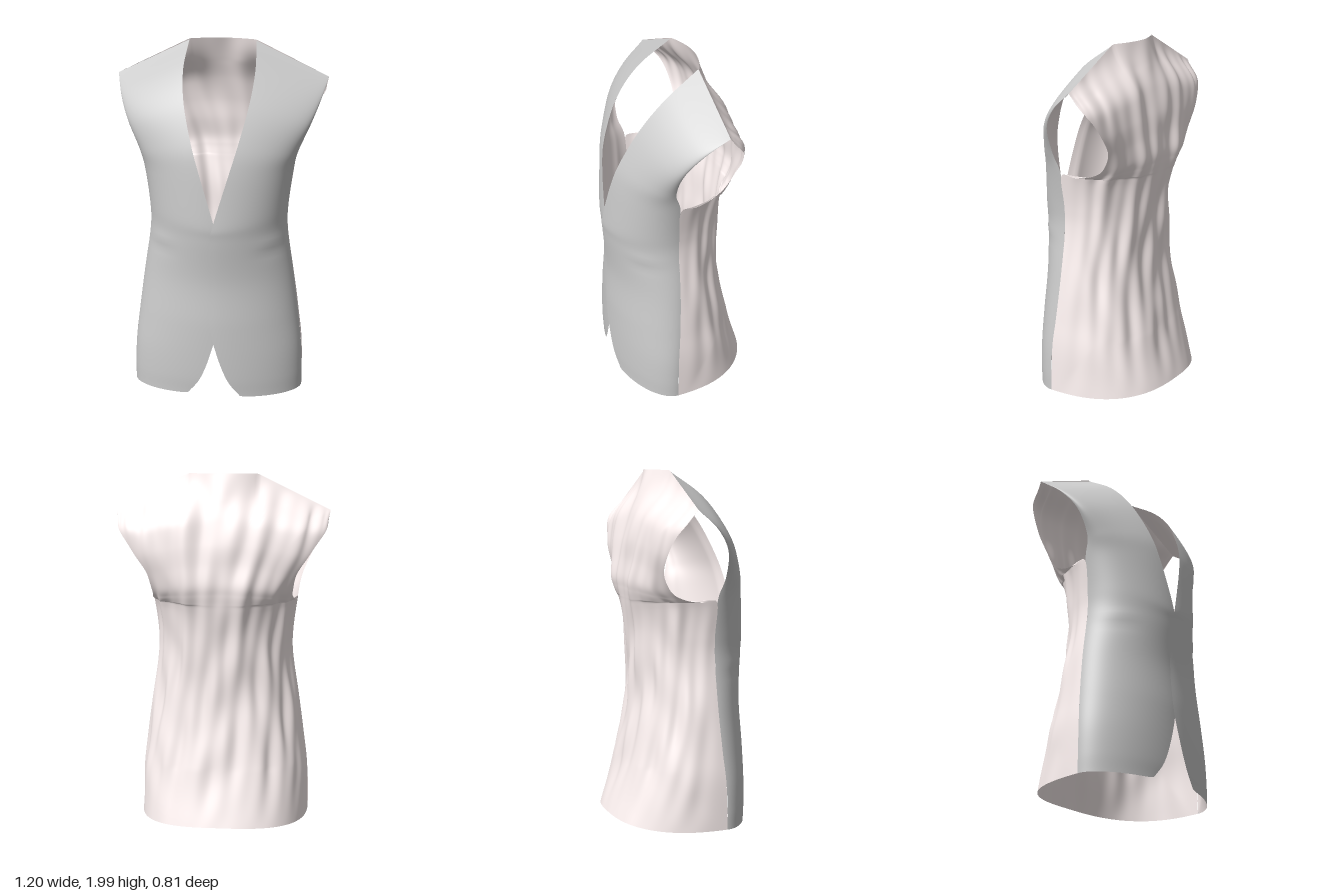
import * as THREE from 'three';

const cloth = new THREE.MeshStandardMaterial({ color: 0xcccccc, side: THREE.DoubleSide });
const silk = new THREE.MeshStandardMaterial({ color: 0xfff4f3, side: THREE.DoubleSide });

const curve = (pts) => new THREE.CatmullRomCurve3(pts.map((p) => new THREE.Vector3(...p)), false, 'catmullrom', 0.5);
const { lerp, clamp, smoothstep } = THREE.MathUtils;
const bump = (d, r) => Math.exp(-(d * d) / (r * r));

// Sheet of cloth: fn(u, v) gives a point, u runs across and v upwards
function sheet(name, fn, nu, nv, material, flip) {
  const pos = [], index = [];
  for (let j = 0; j <= nv; j++)
    for (let i = 0; i <= nu; i++) pos.push(...fn(i / nu, j / nv));
  for (let j = 0; j < nv; j++)
    for (let i = 0; i < nu; i++) {
      const a = j * (nu + 1) + i, b = a + 1, c = a + nu + 1, d = c + 1;
      if (flip) index.push(a, d, b, a, c, d);
      else index.push(a, b, d, a, d, c);
    }
  const geo = new THREE.BufferGeometry();
  geo.setAttribute('position', new THREE.Float32BufferAttribute(pos, 3));
  geo.setIndex(index);
  geo.computeVertexNormals();
  const mesh = new THREE.Mesh(geo, material);
  mesh.name = name;
  return mesh;
}

// Front panel edges: rounded hem corner, button edge and neckline
const frontEdge = curve([
  [0.15, 0.025, 0.378], [0.08, 0.12, 0.392], [0.022, 0.27, 0.396], [-0.02, 0.45, 0.392],
  [-0.025, 0.7, 0.38], [-0.02, 0.95, 0.4], [0, 1.06, 0.405], [0.08, 1.33, 0.375],
  [0.13, 1.5, 0.33], [0.18, 1.7, 0.235], [0.2, 1.86, 0.1], [0.19, 1.995, -0.09],
]);
// Side seam and front of the armhole
const frontSide = curve([
  [0.492, 0.01, 0.14], [0.492, 0.12, 0.14], [0.485, 0.27, 0.135], [0.465, 0.45, 0.12],
  [0.432, 0.7, 0.105], [0.395, 0.95, 0.1], [0.395, 1.1, 0.1], [0.42, 1.3, 0.105],
  [0.445, 1.42, 0.14], [0.51, 1.57, 0.125], [0.562, 1.695, 0.04], [0.6, 1.8, -0.09],
]);
// Centre of the back, hem to neck
const backCentre = curve([
  [0, 0.035, -0.4], [0, 0.27, -0.325], [0, 0.45, -0.29], [0, 0.7, -0.248], [0, 0.95, -0.25],
  [0, 1.1, -0.258], [0, 1.25, -0.283], [0, 1.29, -0.29], [0, 1.34, -0.298], [0, 1.4, -0.302],
  [0, 1.5, -0.288], [0, 1.62, -0.274], [0, 1.75, -0.24], [0, 1.88, -0.185], [0, 2.0, -0.145],
]);
// Side seam, underarm and back of the armhole; x is the half width of the full section
const backSide = curve([
  [0.492, 0.01, 0.14], [0.485, 0.27, 0.135], [0.465, 0.45, 0.12], [0.432, 0.7, 0.105], [0.395, 0.95, 0.1],
  [0.395, 1.1, 0.1], [0.419, 1.285, 0.1], [0.421, 1.287, 0.01], [0.427, 1.303, -0.08], [0.442, 1.345, -0.155],
  [0.49, 1.44, -0.208], [0.55, 1.55, -0.217], [0.58, 1.665, -0.19], [0.59, 1.75, -0.125], [0.6, 1.8, -0.09],
]);

// Elliptical sections between the two edges; the lining hangs inside, loosest at the waist
function frontPoint(side, inset) {
  return (u, v) => {
    const c = frontEdge.getPoint(v), s = frontSide.getPoint(v);
    const start = Math.asin(clamp(c.x / s.x, -1, 1));
    const a = lerp(start, Math.PI / 2, u);
    const n = lerp(1.85, 2.05, smoothstep(v, 0.4, 0.8));
    const depth = (q) => Math.pow(Math.max(0, 1 - Math.pow(Math.abs(q), n)), 1 / n);
    let x = s.x * Math.sin(a);
    let z = s.z + (c.z - s.z) * depth(Math.sin(a)) / depth(Math.sin(start));
    const f = clamp((x - c.x) / (s.x - c.x), 0, 1);
    const y = lerp(c.y, s.y, Math.pow(f, lerp(0.35, 1, smoothstep(v, 0, 0.2))));
    // Slight waist creases
    z += 0.004 * bump(x - 0.32, 0.08) * (bump(y - 0.93, 0.03) - bump(y - 0.87, 0.03));
    // The right panel tucks under the left one
    if (side < 0) z -= 0.018 * (1 - f) * (1 - smoothstep(v, 0.5, 0.75));
    const gap = inset * (1 + 2 * bump(y - 0.8, 0.35)) * Math.min(1, 10 * u, 5 * (1 - u), 15 * v, 15 * (1 - v));
    x -= gap * Math.sin(a);
    z -= gap * Math.cos(a);
    return [side * x, y, z];
  };
}

// Back sections, cut off at the armhole, with soft vertical folds fading out at the borders
function backPoint(u, v) {
  const c = backCentre.getPoint(v), s = backSide.getPoint(v);
  const n = lerp(lerp(2.55, 2.05, smoothstep(v, 0, 0.3)), 3, smoothstep(v, 0.35, 0.8));
  // Full section starts at z0; only the part behind the armhole edge is kept
  const z0 = lerp(Math.max(s.z, 0.1), s.z, smoothstep(v, 0.57, 0.95));
  const cut = clamp((z0 - s.z) / (z0 - c.z), 0, 1);
  const q0 = Math.pow(1 - Math.pow(cut, n), 1 / n);
  const a = (1 - 2 * u) * Math.asin(q0);
  const sin = Math.sin(a), q = Math.min(1, Math.abs(sin));
  let x = s.x * sin;
  const t = Math.min(1, q / q0);
  const section = z0 + (c.z - z0) * Math.pow(1 - Math.pow(q, n), 1 / n);
  // The top row follows the neckline and the straight shoulder seam
  const seam = s.z + (c.z - s.z) * Math.max(0, 1 - (x / 0.2) ** 2);
  let z = lerp(section, seam, smoothstep(v, 0.84, 1));
  const rise = lerp(1 - t * t, clamp((1 - t) / 0.68, 0, 1), smoothstep(v, 0.6, 0.95));
  const y = lerp(s.y, c.y, rise);
  const edge = Math.min(1, 6 * u, 6 * (1 - u), 10 * v, 12 * (1 - v));
  const p = a * 0.42;
  const fold = 0.006 * Math.sin(p * 38 + 1.6 * Math.sin(y * 4.3) + 0.8)
    + 0.005 * Math.sin(p * 23 - 2.1 * Math.sin(y * 3.1 + 1) + y * 2)
    + 0.003 * Math.sin(y * 17 + 3 * Math.sin(p * 9))
    + 0.004 * Math.sin(p * 61 + y * 7);
  x += edge * fold * sin;
  z -= edge * fold * Math.cos(a);
  return [x, y, z];
}

export function createModel() {
  const vest = new THREE.Group();
  vest.name = 'vest';
  for (const [label, side] of [['left', 1], ['right', -1]]) {
    vest.add(sheet(label + 'FrontPanel', frontPoint(side, 0), 32, 90, cloth, side < 0));
    vest.add(sheet(label + 'FrontLining', frontPoint(side, 0.018), 32, 90, silk, side > 0));
  }
  vest.add(sheet('back', backPoint, 120, 150, silk, true));
  return vest;
}
